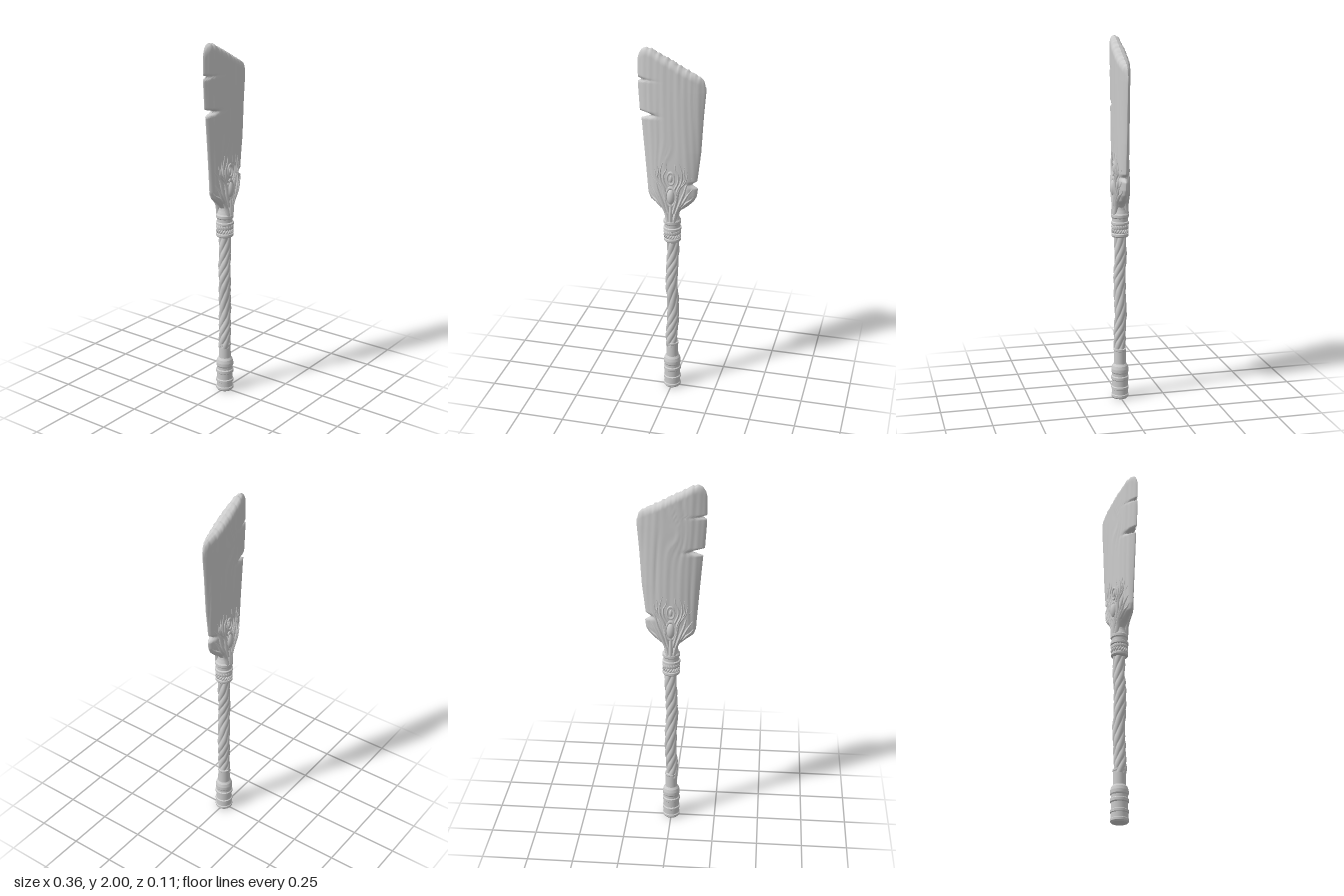
import * as THREE from 'three';

const material = new THREE.MeshStandardMaterial({ color: 0xcccccc, roughness: 0.8 });

function addMesh(parent, name, geometry, position = [0, 0, 0]) {
  const mesh = new THREE.Mesh(geometry, material);
  mesh.name = name;
  mesh.position.set(...position);
  parent.add(mesh);
  return mesh;
}

// Linear lookup in a list of [input, output] pairs
function lookup(pairs, t) {
  if (t <= pairs[0][0]) return pairs[0][1];
  for (let i = 1; i < pairs.length; i++) {
    const [a, va] = pairs[i - 1], [b, vb] = pairs[i];
    if (t <= b) return va + (vb - va) * (t - a) / (b - a);
  }
  return pairs[pairs.length - 1][1];
}

// Closed rings stacked upward; point(v, angle) gives [x, y, z]
function loft(rows, cols, point) {
  const positions = [], index = [];
  for (let i = 0; i <= rows; i++) {
    for (let j = 0; j < cols; j++) positions.push(...point(i / rows, j / cols * Math.PI * 2));
  }
  for (let i = 0; i < rows; i++) {
    for (let j = 0; j < cols; j++) {
      const a = i * cols + j, b = i * cols + (j + 1) % cols, c = a + cols, d = b + cols;
      index.push(a, c, b, b, c, d);
    }
  }
  const geometry = new THREE.BufferGeometry();
  geometry.setAttribute('position', new THREE.Float32BufferAttribute(positions, 3));
  geometry.setIndex(index);
  geometry.computeVertexNormals();
  return geometry;
}

// Blade outline: half widths by height, top edge by x, and splits in the sides
const BASE = 1.05;
const leftEdge = [[1.05, 0.038], [1.09, 0.034], [1.11, 0.05], [1.135, 0.08], [1.165, 0.12], [1.2, 0.133],
  [1.26, 0.137], [1.42, 0.15], [1.61, 0.166], [1.66, 0.175], [1.8, 0.184], [2, 0.184]];
const rightEdge = [[1.05, 0.038], [1.09, 0.034], [1.11, 0.05], [1.135, 0.085], [1.17, 0.12], [1.2, 0.135],
  [1.24, 0.14], [1.28, 0.136], [1.45, 0.156], [1.65, 0.168], [1.78, 0.179], [2, 0.179]];
const topEdge = [[-0.184, 1.93], [-0.175, 1.965], [-0.16, 1.99], [-0.14, 2], [-0.11, 1.996], [-0.06, 1.968],
  [0, 1.938], [0.06, 1.905], [0.12, 1.878], [0.155, 1.86], [0.17, 1.845], [0.179, 1.81]];
const split = (y, at, depth, h) => depth * Math.max(0, 1 - Math.abs(y - at) / h);

function halfWidth(side, y) {
  return side < 0
    ? lookup(leftEdge, y) - split(y, 1.64, 0.075, 0.02) - split(y, 1.83, 0.035, 0.01)
    : lookup(rightEdge, y) - split(y, 1.265, 0.032, 0.02);
}

const lens = s => 0.035 * Math.pow(Math.max(0, 1 - Math.pow(Math.abs(s), 2.5)), 0.7);

// Shallow wood grain that flows around a knot
function grain(x, y) {
  const knot = Math.exp(-(((x + 0.03) / 0.05) ** 2 + ((y - 1.55) / 0.1) ** 2));
  const phase = 170 * x + 2.5 * Math.sin(4 * y) + 9 * knot;
  return 0.0008 * Math.sin(phase) + 0.0007 * Math.sin(phase * 0.43 + 5 * y)
    - 0.002 * Math.pow(Math.max(0, Math.sin(phase * 0.61 + 1)), 8) * Math.max(0, Math.sin(9 * y + 25 * x));
}

function bladePoint(v, angle) {
  const s = Math.cos(angle), side = Math.sign(Math.sin(angle));
  const jag = 0.003 * Math.sin(s * 31) + 0.003 * Math.sin(s * 53 + 2);
  const top = lookup(topEdge, s * 0.182) + jag * (1 - s * s);
  const y = BASE + v * (top - BASE);
  const full = lookup(s < 0 ? leftEdge : rightEdge, y);
  const cut = full - halfWidth(s, y);
  const x = s * full - Math.sign(s) * cut * s * s;
  // Worn, rounded upper rim
  const d = Math.max(0, 1 - (top - y) / 0.04);
  const rim = Math.sqrt(Math.max(0, 1 - d * d));
  const edgeFade = Math.min(1, (1 - Math.abs(s)) * 6);
  return [x, y, side * (lens(s) + grain(x, y + side * 0.2) * edgeFade) * rim];
}

// Twisted strands wrapped around the shaft, gently bowed
function gripPoint(v, angle) {
  const y = 0.26 + v * 0.69;
  const twist = angle * 5 + y * 85 + Math.sin(y * 17);
  const r = 0.026 + 0.008 * Math.sqrt(Math.abs(Math.sin(twist / 2))) + 0.0015 * Math.sin(angle * 3 - y * 40);
  return [r * Math.cos(angle) + 0.004 * Math.sin(y * 16), y, r * Math.sin(angle) + 0.002 * Math.cos(y * 19)];
}

function turned(points) {
  // Repeated points keep the turned edges crisp
  const profile = points.flatMap(([r, y], i) => {
    const p = new THREE.Vector2(r, y);
    return i === 0 || i === points.length - 1 ? [p] : [p, p.clone()];
  });
  const flat = new THREE.LatheGeometry(profile, 40);
  return flat;
}

// Tapered vine lying on the blade face
function vine(points, radius, lift = 0) {
  const path = new THREE.CatmullRomCurve3(points.map(([x, y]) => {
    const s = Math.min(0.95, Math.abs(x) / halfWidth(x, y));
    return new THREE.Vector3(x, y, Math.max(0.012, lens(s)) + lift);
  }));
  const rows = 18, sides = 7;
  const geometry = new THREE.TubeGeometry(path, rows, radius, sides);
  const pos = geometry.attributes.position, p = new THREE.Vector3();
  for (let i = 0; i < pos.count; i++) {
    const t = Math.floor(i / (sides + 1)) / rows;
    const centre = path.getPointAt(t);
    p.fromBufferAttribute(pos, i).sub(centre).multiplyScalar(1 - 0.85 * t * t).add(centre);
    pos.setXYZ(i, p.x, p.y, p.z);
  }
  geometry.computeVertexNormals();
  return geometry;
}

function ornament(name) {
  const group = new THREE.Group();
  group.name = name;
  const branches = [
    [[[0.015, 1.05], [0.03, 1.11], [0.065, 1.165], [0.09, 1.21], [0.115, 1.245]], 0.013],
    [[[0.02, 1.08], [0.045, 1.15], [0.07, 1.22], [0.085, 1.27], [0.115, 1.31]], 0.011],
    [[[0.012, 1.1], [0.03, 1.17], [0.045, 1.24], [0.08, 1.29], [0.09, 1.345]], 0.01],
    [[[0.03, 1.17], [0.034, 1.23], [0.055, 1.28], [0.06, 1.33], [0.045, 1.39]], 0.009],
    [[[0.02, 1.24], [0.038, 1.28], [0.04, 1.32], [0.025, 1.35], [0.022, 1.385]], 0.007],
    [[[0.06, 1.27], [0.075, 1.3], [0.07, 1.335], [0.075, 1.37]], 0.006],
    [[[0.05, 1.13], [0.085, 1.165], [0.105, 1.18], [0.12, 1.2]], 0.009],
  ];
  for (const side of [-1, 1]) {
    for (const [points, radius] of branches) {
      addMesh(group, 'vine', vine(points.map(([x, y]) => [x * side, y]), radius));
    }
  }
  // Gem in a raised setting, with an almond ring and bud above it
  const gem = addMesh(group, 'gem', new THREE.SphereGeometry(1, 24, 16), [0, 1.195, 0.034]);
  gem.scale.set(0.022, 0.045, 0.021);
  const setting = addMesh(group, 'gemSetting', new THREE.TorusGeometry(1, 0.2, 8, 32), [0, 1.195, 0.036]);
  setting.scale.set(0.026, 0.052, 0.03);
  const ring = addMesh(group, 'almondRing', new THREE.TorusGeometry(1, 0.22, 8, 28), [0, 1.3, 0.035]);
  ring.scale.set(0.02, 0.034, 0.025);
  const bud = addMesh(group, 'bud', new THREE.SphereGeometry(1, 16, 12), [0, 1.298, 0.034]);
  bud.scale.set(0.009, 0.02, 0.008);
  addMesh(group, 'stem', vine([[0, 1.05], [0, 1.1], [0, 1.15], [0, 1.19]], 0.014));
  return group;
}

export function createModel() {
  const model = new THREE.Group();
  model.name = 'woodenPaddle';

  addMesh(model, 'blade', loft(160, 128, bladePoint));
  addMesh(model, 'grip', loft(150, 50, gripPoint));

  const front = ornament('frontOrnament'), back = ornament('backOrnament');
  back.rotation.y = Math.PI;
  model.add(front, back);

  // Ringed end cap
  addMesh(model, 'pommel', turned([[0, 0], [0.042, 0], [0.049, 0.008], [0.049, 0.02], [0.045, 0.024],
    [0.045, 0.05], [0.049, 0.053], [0.049, 0.066], [0.044, 0.07], [0.044, 0.105], [0.049, 0.11],
    [0.049, 0.125], [0.044, 0.13], [0.044, 0.145], [0.048, 0.152], [0.048, 0.17], [0.043, 0.188],
    [0.034, 0.2], [0.033, 0.272], [0.035, 0.275], [0.035, 0.285], [0.025, 0.288]]));

  // Collar between grip and blade
  addMesh(model, 'collar', turned([[0.025, 0.922], [0.042, 0.924], [0.047, 0.93], [0.047, 0.942], [0.042, 0.946],
    [0.042, 0.99], [0.049, 0.994], [0.049, 1.006], [0.043, 1.01], [0.043, 1.028], [0.048, 1.034],
    [0.048, 1.048], [0.042, 1.056], [0.036, 1.075], [0.032, 1.1], [0.01, 1.115]]));

  // Braided band
  const braid = new THREE.Group();
  braid.name = 'braidedBand';
  for (let row = 0; row < 2; row++) {
    for (let i = 0; i < 18; i++) {
      const a = (i + row / 2) / 18 * Math.PI * 2;
      const bead = addMesh(braid, 'braidStrand', new THREE.SphereGeometry(1, 10, 8),
        [0.042 * Math.sin(a), 0.957 + row * 0.022, 0.042 * Math.cos(a)]);
      bead.scale.set(0.006, 0.014, 0.006);
      bead.rotation.set(0, a, row ? 0.6 : -0.6);
      bead.rotation.order = 'YXZ';
    }
  }
  model.add(braid);
  return model;
}
